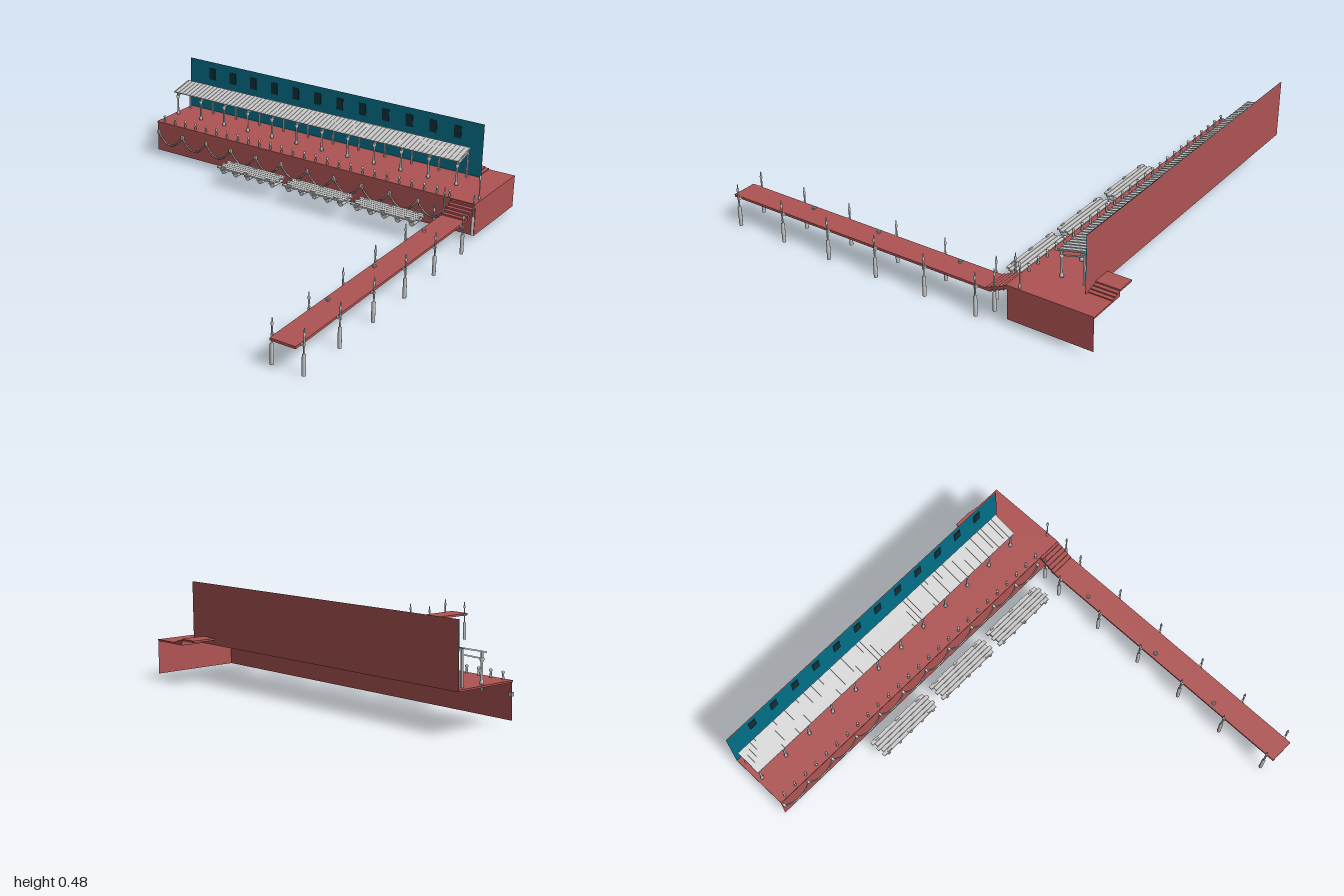
import * as THREE from 'three';

const grey = new THREE.MeshStandardMaterial({ color: 0xcccccc, side: THREE.DoubleSide });
const red = new THREE.MeshStandardMaterial({ color: 0xb05454, side: THREE.DoubleSide });
const teal = new THREE.MeshStandardMaterial({ color: 0x007088, side: THREE.DoubleSide });
const dark = new THREE.MeshStandardMaterial({ color: 0x123038 });

export function createModel() {
  const root = new THREE.Group();

  const add = (name, geo, mat = grey, parent = root) => {
    const m = new THREE.Mesh(geo, mat);
    m.name = name;
    parent.add(m);
    return m;
  };
  // Box given by its minimum and maximum corners
  const box = (name, x0, x1, y0, y1, z0, z1, mat = grey, parent = root) => {
    const g = new THREE.BoxGeometry(x1 - x0, y1 - y0, z1 - z0);
    g.translate((x0 + x1) / 2, (y0 + y1) / 2, (z0 + z1) / 2);
    return add(name, g, mat, parent);
  };
  // Upright turned part from a [radius, height] profile
  const turned = (name, profile, x, y, z, sides = 10, parent = root) => {
    const g = new THREE.LatheGeometry(profile.map(([r, h]) => new THREE.Vector2(r, h)), sides);
    const m = add(name, g, grey, parent);
    m.position.set(x, y, z);
    return m;
  };
  const group = (name) => {
    const g = new THREE.Group();
    g.name = name;
    root.add(g);
    return g;
  };
  // Flat open sheet through four corners
  const sheet = (name, corners, mat) => {
    const g = new THREE.BufferGeometry();
    g.setAttribute('position', new THREE.Float32BufferAttribute(corners.flat(), 3));
    g.setIndex([0, 1, 2, 0, 2, 3]);
    g.computeVertexNormals();
    return add(name, g, mat);
  };

  // Quay deck, L-shaped
  const outline = [[0.557, -0.98], [0.87, -0.98], [0.87, 0.81], [0.99, 0.81], [0.99, 0.957], [0.557, 0.957]];
  const deckGeo = new THREE.ExtrudeGeometry(
    new THREE.Shape(outline.map(([x, z]) => new THREE.Vector2(x, -z))), { depth: 0.008, bevelEnabled: false });
  deckGeo.rotateX(-Math.PI / 2);
  deckGeo.translate(0, 0.19, 0);
  add('quayDeck', deckGeo, red);

  // Retaining walls, open at the back and on the land side
  sheet('quayWall', [[0.563, 0.03, 0.957], [0.563, 0.03, -0.98], [0.563, 0.192, -0.98], [0.563, 0.192, 0.957]], red);
  sheet('quayFrontWall', [[0.563, 0.03, 0.957], [0.99, 0.03, 0.957], [0.99, 0.192, 0.957], [0.563, 0.192, 0.957]], red);

  // Tall wall: red outside, teal inside with narrow windows
  sheet('buildingWallOutside', [[0.871, 0.19, 0.83], [0.871, 0.19, -0.98], [0.871, 0.48, -0.98], [0.871, 0.48, 0.83]], red);
  sheet('buildingWallInside', [[0.868, 0.198, -0.98], [0.868, 0.198, 0.83], [0.868, 0.48, 0.83], [0.868, 0.48, -0.98]], teal);
  const windows = group('windows');
  for (let i = 0; i < 12; i++) {
    const z = -0.83 + i * 0.138;
    box('window', 0.865, 0.869, 0.38, 0.445, z - 0.02, z + 0.02, dark, windows);
  }

  // Side steps and landing
  box('landing', 0.87, 0.99, 0.213, 0.222, 0.66, 0.755, red);
  for (let i = 0; i < 3; i++) {
    box('sideStep', 0.87, 0.99, 0.19, 0.215 - i * 0.006, 0.755 + i * 0.02, 0.775 + i * 0.02, red);
  }

  // Sloped canopy with ribs
  const roofShape = new THREE.Shape([[0.7, 0.326], [0.83, 0.356], [0.83, 0.36], [0.7, 0.33]].map((p) => new THREE.Vector2(...p)));
  const roof = new THREE.ExtrudeGeometry(roofShape, { depth: 1.755, bevelEnabled: false });
  roof.translate(0, 0, -0.97);
  add('canopyRoof', roof);
  const ribs = group('canopyRibs');
  for (let i = 0; i <= 70; i++) {
    const rib = add('canopyRib', new THREE.BoxGeometry(0.133, 0.003, 0.006), grey, ribs);
    rib.position.set(0.765, 0.346, -0.966 + i * 0.0249);
    rib.rotation.z = Math.atan2(0.03, 0.13);
  }
  // Canopy supports
  const posts = group('canopyPosts');
  for (let i = 0; i < 12; i++) {
    const z = -0.955 + i * 0.157;
    turned('frontPost', [[0, 0], [0.009, 0], [0.009, 0.012], [0.005, 0.02], [0.005, 0.09], [0.01, 0.1], [0.01, 0.108], [0, 0.108]],
      0.715, 0.198, z, 10, posts);
    box('postHead', 0.711, 0.719, 0.3, 0.33, z - 0.004, z + 0.004, grey, posts);
    box('rearPost', 0.824, 0.832, 0.198, 0.356, z - 0.004, z + 0.004, grey, posts);
    const tie = add('tieBeam', new THREE.BoxGeometry(0.115, 0.006, 0.006), grey, posts);
    tie.position.set(0.77, 0.318, z);
    tie.rotation.z = 0.25;
  }

  // Bollards along the quay edge
  const bollards = group('bollards');
  for (let i = 0; i < 26; i++) {
    turned('bollard', [[0, 0], [0.007, 0], [0.005, 0.008], [0.004, 0.024], [0.007, 0.03], [0.006, 0.036], [0, 0.038]],
      0.575, 0.197, -0.94 + i * 0.07, 8, bollards);
  }

  // Chains hung in swags on the quay face
  const chains = group('quayChains');
  const spans = 11, pitch = 1.78 / spans;
  for (let i = 0; i <= spans; i++) {
    const z = -0.97 + i * pitch;
    box('chainAnchor', 0.549, 0.567, 0.13, 0.147, z - 0.006, z + 0.006, grey, chains);
    if (i === spans) break;
    const swag = new THREE.QuadraticBezierCurve3(
      new THREE.Vector3(0.554, 0.14, z), new THREE.Vector3(0.552, 0.012, z + pitch / 2), new THREE.Vector3(0.554, 0.14, z + pitch));
    add('chain', new THREE.TubeGeometry(swag, 14, 0.004, 6), grey, chains);
  }

  // Three floating pontoons beside the quay
  for (const z0 of [-0.455, -0.045, 0.36]) {
    const raft = group('pontoon');
    for (let i = 0; i < 5; i++) {
      const inset = (i % 2) * 0.012;
      box('plank', 0.395 + i * 0.0205, 0.413 + i * 0.0205, 0.102, 0.11, z0 + inset, z0 + 0.36 + inset, grey, raft);
    }
    for (let i = 0; i < 5; i++) {
      const z = z0 + 0.03 + i * 0.077;
      box('crossBeam', 0.39, 0.5, 0.095, 0.103, z - 0.007, z + 0.007, grey, raft);
      const float = add('float', new THREE.CylinderGeometry(0.014, 0.014, 0.085, 10), grey, raft);
      float.rotation.z = Math.PI / 2;
      float.position.set(0.452, 0.083, z);
    }
    for (const x of [0.4, 0.488]) for (const dz of [0.04, 0.18, 0.32]) {
      box('mooringCleat', x - 0.003, x + 0.003, 0.109, 0.117, z0 + dz - 0.012, z0 + dz + 0.012, grey, raft);
    }
  }

  // Narrow pier
  box('pierDeck', -1, 0.475, 0.135, 0.147, 0.83, 0.957, red);

  // Stepped ramp from pier to quay
  for (let i = 0; i < 5; i++) {
    const x = 0.46 + i * 0.021, y = 0.155 + i * 0.0095;
    box('pierStep', x, x + 0.024, y - 0.017, y, 0.83, 0.957, red);
  }

  // Piles with slim posts on both sides of the pier
  const pile = [[0, 0], [0.009, 0], [0.009, 0.096], [0.004, 0.1], [0.004, 0.18], [0.006, 0.184], [0.006, 0.194], [0.003, 0.198], [0.003, 0.213], [0, 0.22]];
  const piles = group('pierPiles');
  for (const z of [0.816, 0.972]) {
    for (let i = 0; i < 6; i++) turned('pile', pile, -0.96 + i * 0.274, 0, z, 10, piles);
    turned('stairPost', pile.map(([r, h]) => [r * 0.9, h * 0.96]), 0.51, 0.06, z, 10, piles);
    for (let i = 0; i < 6; i++) {
      const x = -0.96 + i * 0.274, mid = z < 0.9 ? 0.823 : 0.965;
      box('pileBracket', x - 0.005, x + 0.005, 0.136, 0.146, mid - 0.01, mid + 0.01, grey, piles);
    }
  }

  // Mooring rings on the pier
  for (const x of [-0.595, -0.21, 0.245]) {
    const ring = add('mooringRing', new THREE.TorusGeometry(0.008, 0.003, 6, 14));
    ring.rotation.x = Math.PI / 2;
    ring.position.set(x, 0.156, 0.853);
    turned('ringBase', [[0, 0], [0.008, 0], [0.005, 0.01], [0, 0.01]], x, 0.147, 0.853, 8);
  }

  // Lamp post at the quay corner
  turned('lampPost', [[0, 0], [0.006, 0], [0.006, 0.015], [0.003, 0.02], [0.003, 0.1], [0.006, 0.106], [0.006, 0.122], [0, 0.13]], 0.62, 0.198, 0.945);

  return root;
}
